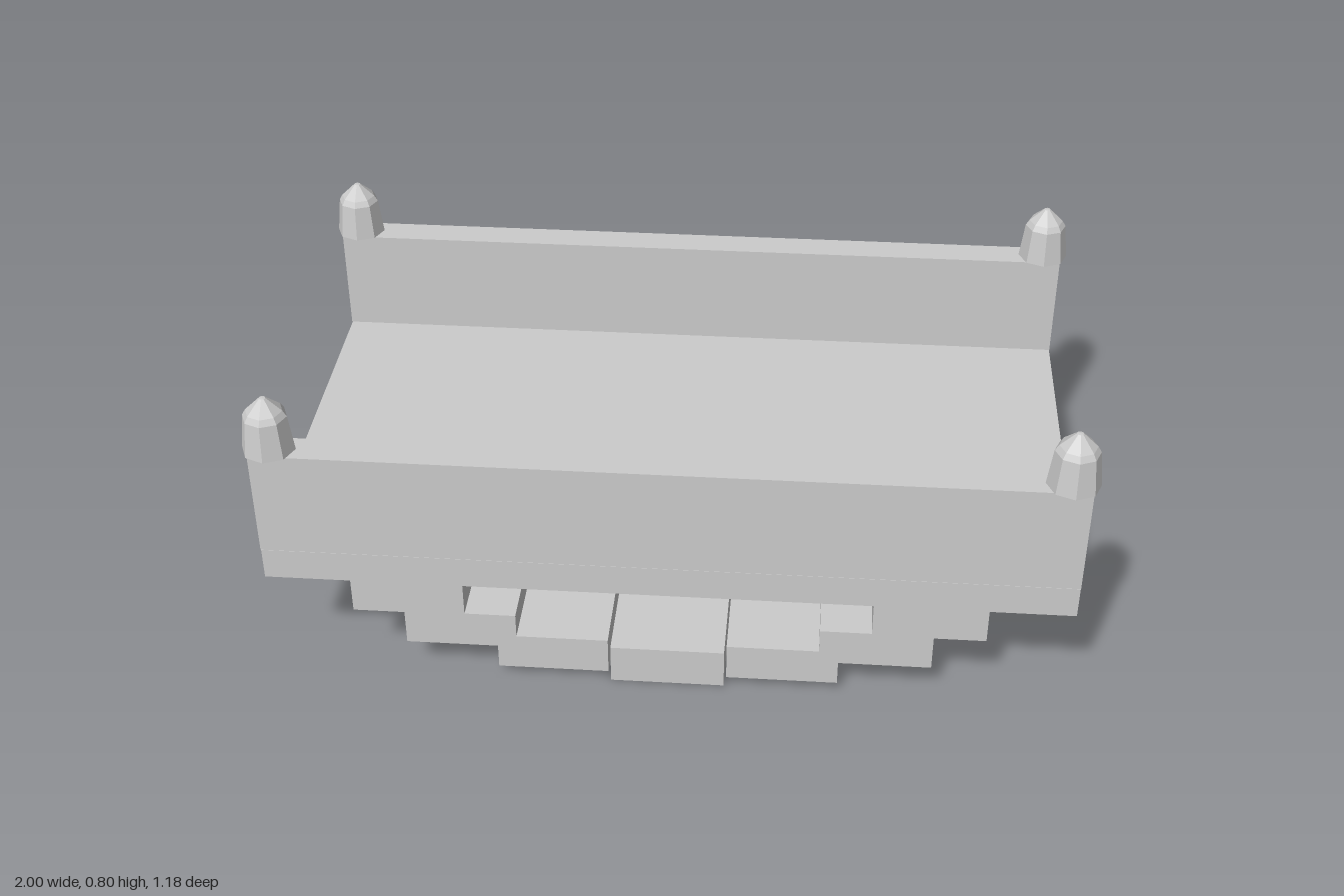
import * as THREE from 'three';

export function createModel() {
  const model = new THREE.Group();
  model.name = 'bridge';
  const stone = new THREE.MeshStandardMaterial({ color: 0xcccccc });
  stone.name = 'light grey stone';
  stone.flatShading = true;

  const add = (name, geometry, x = 0, y = 0, z = 0) => {
    const mesh = new THREE.Mesh(geometry, stone);
    mesh.name = name;
    mesh.position.set(x, y, z);
    model.add(mesh);
    return mesh;
  };
  // Box spanning y0..y1
  const slab = (name, w, y0, y1, d, z = 0) =>
    add(name, new THREE.BoxGeometry(w, y1 - y0, d), 0, (y0 + y1) / 2, z);

  // Deck and side walls
  slab('deck', 1.96, 0.298, 0.38, 1.122);
  for (const s of [1, -1]) {
    slab(s > 0 ? 'frontWall' : 'backWall', 1.96, 0.384, 0.66, 0.082, s * 0.524);
  }

  // Eight-sided finials on the wall ends
  const profile = [[0, 0.66], [0.064, 0.66], [0.053, 0.752], [0.044, 0.767], [0.008, 0.801], [0, 0.802]]
    .map(([r, y]) => new THREE.Vector2(r, y));
  const finial = new THREE.LatheGeometry(profile, 8);
  for (const x of [-0.936, 0.936]) {
    for (const z of [-0.526, 0.526]) add('finial', finial, x, 0, z);
  }

  // Stepped supports under the deck, mirrored left and right
  const steps = [
    [0.777, 0.286], [0.5, 0.286], [0.5, 0.192], [0.374, 0.192], [0.374, 0.127], [0.147, 0.127],
    [0.147, 0.028], [0.422, 0.028], [0.422, 0.093], [0.65, 0.093], [0.65, 0.187], [0.777, 0.187],
  ];
  for (const s of [1, -1]) {
    const shape = new THREE.Shape(steps.map(([x, y]) => new THREE.Vector2(s * x, y)));
    const geometry = new THREE.ExtrudeGeometry(shape, { depth: 1.076, bevelEnabled: false });
    add(s > 0 ? 'leftSteppedSupport' : 'rightSteppedSupport', geometry, 0, 0, -0.538);
  }

  // Keystone at the bottom
  slab('keystone', 0.282, 0, 0.105, 1.076);

  return model;
}
